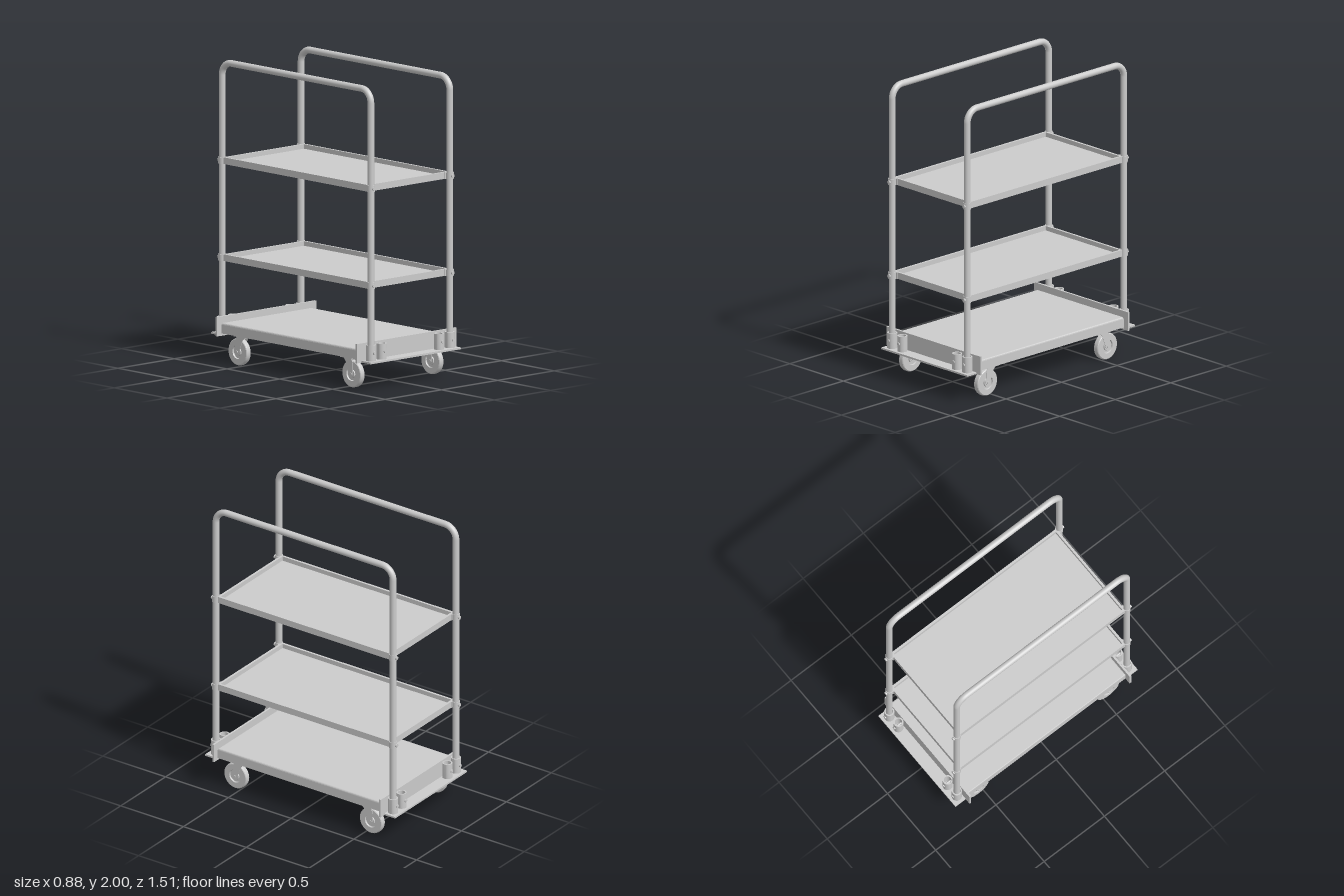
import * as THREE from 'three';
import { toCreasedNormals } from 'three/addons/utils/BufferGeometryUtils.js';

const POLE_X = 0.35, POLE_Z = 0.705, POLE_R = 0.022;

export function createModel() {
  const root = new THREE.Group();
  root.name = 'shelfTrolley';
  const mat = new THREE.MeshStandardMaterial({ color: 0xcccccc });

  const add = (parent, name, geo, x = 0, y = 0, z = 0) => {
    const mesh = new THREE.Mesh(geo, mat);
    mesh.name = name;
    mesh.position.set(x, y, z);
    parent.add(mesh);
    return mesh;
  };
  const group = (name, parent = root) => {
    const g = new THREE.Group();
    g.name = name;
    parent.add(g);
    return g;
  };
  const box = (parent, name, sx, sy, sz, x, y, z) =>
    add(parent, name, new THREE.BoxGeometry(sx, sy, sz), x, y, z);
  const rod = (parent, name, r, len, axis, x, y, z, seg = 20) => {
    const geo = new THREE.CylinderGeometry(r, r, len, seg);
    if (axis === 'x') geo.rotateZ(Math.PI / 2);
    if (axis === 'z') geo.rotateX(Math.PI / 2);
    return add(parent, name, geo, x, y, z);
  };
  const lathe = (pts, seg) => toCreasedNormals(
    new THREE.LatheGeometry(pts.map(([r, y]) => new THREE.Vector2(r, y)), seg), 0.6);
  const rect = (target, w, d, r, cy = 0) => {
    // Rounded rectangle outline centred on (0, cy)
    const a = w / 2 - r, b = d / 2 - r;
    target.absarc(a, cy + b, r, 0, Math.PI / 2);
    target.absarc(-a, cy + b, r, Math.PI / 2, Math.PI);
    target.absarc(-a, cy - b, r, Math.PI, Math.PI * 1.5);
    target.absarc(a, cy - b, r, Math.PI * 1.5, Math.PI * 2);
    target.closePath();
    return target;
  };

  // Deck: solid body under a pressed top with a sunken panel and two slots
  const deck = group('deck');
  box(deck, 'deckBody', 0.8, 0.058, 1.314, 0, 0.229, 0);
  const top = rect(new THREE.Shape(), 0.8, 1.314, 0.004);
  top.holes.push(rect(new THREE.Path(), 0.6, 0.86, 0.015));
  for (const s of [-1, 1]) top.holes.push(rect(new THREE.Path(), 0.46, 0.036, 0.0175, s * 0.55));
  const topGeo = new THREE.ExtrudeGeometry(top, {
    depth: 0.006, bevelEnabled: true, bevelThickness: 0.012, bevelSize: 0.01,
    bevelOffset: -0.01, bevelSegments: 3, curveSegments: 6,
  });
  topGeo.rotateX(-Math.PI / 2);
  add(deck, 'deckTop', topGeo, 0, 0.252, 0);

  // End brackets with tube sockets
  const socketGeo = lathe([[0.024, 0.01], [0.024, 0.105], [0.033, 0.105], [0.033, 0], [0.0, 0],
    [0, 0.01], [0.024, 0.01]].reverse(), 24);
  for (const s of [1, -1]) {
    const bracket = group(s > 0 ? 'frontBracket' : 'backBracket');
    box(bracket, 'uprightPlate', 0.88, 0.118, 0.014, 0, 0.253, s * 0.664);
    box(bracket, 'footPlate', 0.8, 0.012, 0.1, 0, 0.191, s * 0.706);
    box(bracket, 'footLip', 0.88, 0.012, 0.014, 0, 0.191, s * 0.664);
    for (const x of [-POLE_X, -0.255, 0.255, POLE_X]) {
      const m = add(bracket, 'tubeSocket', socketGeo, x, 0.196, s * POLE_Z);
      m.material = mat.clone();
      m.material.side = THREE.DoubleSide;
      rod(bracket, 'socketPin', 0.006, 0.07, 'z', x, 0.25, s * POLE_Z, 12);
      rod(bracket, 'socketBolt', 0.011, 0.008, 'z', x, 0.25, s * 0.74, 12);
    }
  }

  // Hoop handles, one along each long side
  const bend = 0.085, topY = 2 - POLE_R, bendY = topY - bend, straightZ = POLE_Z - bend;
  for (const side of [1, -1]) {
    const hoop = group(side > 0 ? 'leftHoop' : 'rightHoop');
    const x = side * POLE_X;
    rod(hoop, 'topRail', POLE_R, straightZ * 2, 'z', x, topY, 0);
    for (const s of [1, -1]) {
      rod(hoop, 'pole', POLE_R, bendY - 0.2, 'y', x, (bendY + 0.2) / 2, s * POLE_Z);
      const geo = new THREE.TorusGeometry(bend, POLE_R, 20, 14, Math.PI / 2);
      geo.rotateY(-s * Math.PI / 2);
      add(hoop, 'bend', geo, x, bendY, s * straightZ);
    }
  }

  // Shelves: shallow trays clamped to the four poles
  const trayW = 0.72, trayD = 1.376, rim = 0.016, trayH = 0.044;
  for (const [name, y] of [['lowerShelf', 0.669], ['upperShelf', 1.308]]) {
    const shelf = group(name);
    box(shelf, 'trayFloor', trayW, 0.014, trayD, 0, y + 0.007, 0);
    const outline = rect(new THREE.Shape(), trayW, trayD, 0.004);
    outline.holes.push(rect(new THREE.Path(), trayW - 2 * rim, trayD - 2 * rim, 0.004));
    const rimGeo = new THREE.ExtrudeGeometry(outline, { depth: trayH, bevelEnabled: false, curveSegments: 3 });
    rimGeo.rotateX(-Math.PI / 2);
    add(shelf, 'trayRim', rimGeo, 0, y, 0);
    const cy = y + trayH / 2;
    for (const sx of [1, -1]) for (const sz of [1, -1]) {
      rod(shelf, 'clampCollar', 0.026, trayH, 'y', sx * POLE_X, cy, sz * POLE_Z);
      box(shelf, 'clampTab', 0.03, trayH, 0.006, sx * 0.335, cy, sz * 0.69);
      rod(shelf, 'clampBolt', 0.012, 0.012, 'z', sx * POLE_X, cy, sz * 0.733, 12);
    }
  }

  // Casters: wheel with a grooved hub held in a swept-back fork
  const wheelHalf = [[0, 0.018], [0.026, 0.018], [0.028, 0.01], [0.043, 0.01], [0.046, 0.02],
    [0.083, 0.02], [0.088, 0.016], [0.09, 0.008]];
  const wheelPts = [...wheelHalf.map(([r, y]) => [r, -y]), ...wheelHalf.slice().reverse()];
  const wheelGeo = lathe(wheelPts, 40);
  wheelGeo.rotateZ(Math.PI / 2);
  // Fork arm drawn in (z, y) about the axle, swept inwards at the top
  const arm = new THREE.Shape();
  arm.moveTo(0.018, 0);
  arm.lineTo(0.016, 0.07);
  arm.lineTo(0.004, 0.102);
  arm.lineTo(-0.07, 0.102);
  arm.lineTo(-0.05, 0.08);
  arm.lineTo(-0.018, 0);
  arm.absarc(0, 0, 0.018, Math.PI, Math.PI * 2);
  const armGeo = new THREE.ExtrudeGeometry(arm, { depth: 0.004, bevelEnabled: false, curveSegments: 10 });
  armGeo.translate(0, 0, -0.002);
  armGeo.rotateY(-Math.PI / 2);
  for (const sx of [1, -1]) for (const sz of [1, -1]) {
    const caster = group((sz > 0 ? 'front' : 'back') + (sx > 0 ? 'Left' : 'Right') + 'Caster');
    caster.position.set(sx * POLE_X, 0.09, sz * 0.54);
    if (sz < 0) caster.rotation.y = Math.PI;
    add(caster, 'wheel', wheelGeo);
    rod(caster, 'axle', 0.009, 0.058, 'x', 0, 0, 0, 12);
    for (const s of [1, -1]) add(caster, 'forkArm', armGeo, s * 0.022, 0, 0);
    box(caster, 'forkCrown', 0.048, 0.006, 0.074, 0, 0.101, -0.033);
    box(caster, 'mountPlate', 0.08, 0.006, 0.1, 0, 0.107, -0.033);
  }

  return root;
}
